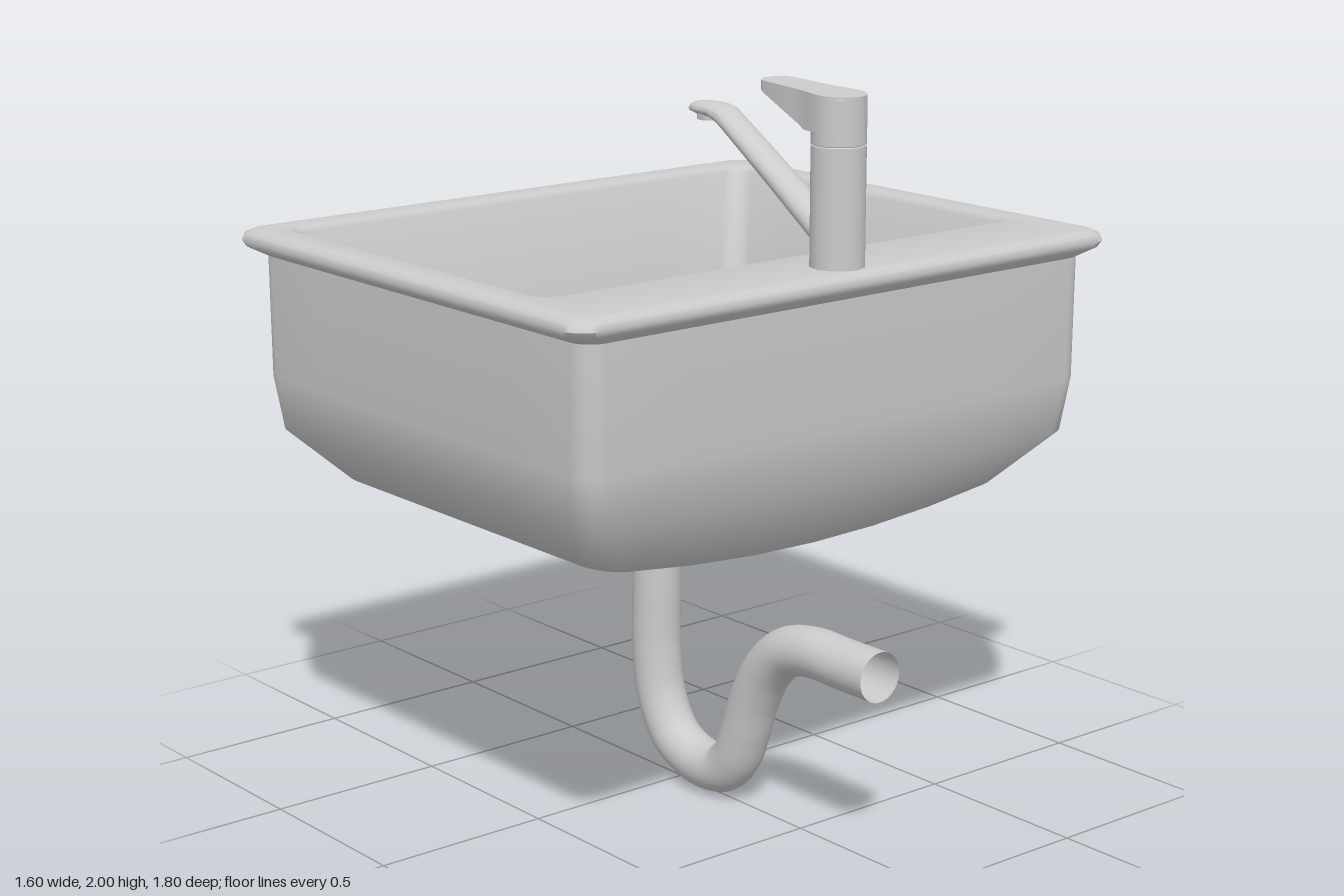
import * as THREE from 'three';
import { toCreasedNormals } from 'three/addons/utils/BufferGeometryUtils.js';

const material = new THREE.MeshStandardMaterial({ color: 0xcccccc });
const openMaterial = new THREE.MeshStandardMaterial({ color: 0xcccccc, side: THREE.DoubleSide });

// Skin a list of closed rings (equal point counts); optionally close both ends.
function loft(rings, crease, capped = false) {
  const n = rings[0].length;
  const center = (ring) => ring.reduce((s, p) => s.add(p), new THREE.Vector3()).divideScalar(n);
  const rows = capped
    ? [rings[0].map(() => center(rings[0])), ...rings, rings[0].map(() => center(rings.at(-1)))]
    : rings;
  const positions = rows.flat().flatMap((p) => p.toArray());
  const index = [];
  for (let j = 0; j < rows.length - 1; j++) {
    for (let i = 0; i < n; i++) {
      const a = j * n + i, b = j * n + (i + 1) % n;
      index.push(a, a + n, b, b, a + n, b + n);
    }
  }
  const g = new THREE.BufferGeometry();
  g.setAttribute('position', new THREE.Float32BufferAttribute(positions, 3));
  g.setIndex(index);
  return toCreasedNormals(g, crease);
}

// Horizontal rounded rectangle; sag lowers the middle of the +x side, and the -x side a little.
function ring(y, x0, x1, zh, r, sag = 0) {
  const corners = [[x1 - r, zh - r], [x0 + r, zh - r], [x0 + r, r - zh], [x1 - r, r - zh]];
  const arcs = corners.map(([cx, cz], k) => Array.from({ length: 8 }, (_, i) => {
    const t = (k + i / 7) * Math.PI / 2;
    return new THREE.Vector3(cx + r * Math.cos(t), y, cz + r * Math.sin(t));
  }));
  const points = [];
  arcs.forEach((arc, k) => {
    points.push(...arc);
    for (let i = 1; i < 6; i++) points.push(arc[7].clone().lerp(arcs[(k + 1) % 4][0], i / 6));
  });
  points.forEach((p) => {
    p.y -= sag * Math.max(p.x / x1, 0.3 * p.x / x0) * (1 - (p.z / zh) ** 2);
  });
  return points;
}

function lathe(profile, crease = 0.6) {
  const g = new THREE.LatheGeometry(profile.map(([r, y]) => new THREE.Vector2(r, y)), 40);
  return toCreasedNormals(g, crease);
}

export function createModel() {
  const group = new THREE.Group();
  const add = (name, geometry, x = 0, y = 0, mat = material) => {
    const mesh = new THREE.Mesh(geometry, mat);
    mesh.name = name;
    mesh.position.set(x, y, 0);
    group.add(mesh);
  };

  // Basin: underside, outer wall, rim with slanted underside, tapering inner wall and floor
  add('basin', loft([
    ring(0.784, -0.18, -0.04, 0.07, 0.07),
    ring(0.814, -0.37, 0.37, 0.44, 0.1, 0.036),
    ring(0.866, -0.62, 0.54, 0.7, 0.08, 0.056),
    ring(1.0, -0.74, 0.66, 0.825, 0.07),
    ring(1.15, -0.755, 0.675, 0.845, 0.065),
    ring(1.48, -0.755, 0.675, 0.845, 0.06),
    ring(1.506, -0.792, 0.712, 0.892, 0.065),
    ring(1.522, -0.8, 0.72, 0.9, 0.065),
    ring(1.54, -0.793, 0.713, 0.893, 0.06),
    ring(1.55, -0.775, 0.695, 0.875, 0.052),
    ring(1.552, -0.76, 0.68, 0.86, 0.05),
    ring(1.552, -0.7, 0.458, 0.807, 0.055),
    ring(1.549, -0.692, 0.45, 0.798, 0.055),
    ring(1.535, -0.683, 0.441, 0.788, 0.055),
    ring(1.25, -0.625, 0.383, 0.725, 0.06),
    ring(1.02, -0.56, 0.315, 0.66, 0.075),
    ring(0.91, -0.465, 0.22, 0.55, 0.1),
    ring(0.865, -0.33, 0.13, 0.39, 0.13),
    ring(0.845, -0.21, 0.05, 0.13, 0.13),
  ], 0.9), 0, 0, openMaterial);

  // Drain strainer with its centre stud
  add('drain', lathe([[0.136, 0.835], [0.136, 0.862], [0.124, 0.862], [0.108, 0.848],
    [0.095, 0.825], [0.065, 0.81], [0.022, 0.806], [0.022, 0.816], [0, 0.816]], 0.9),
  -0.08, 0, openMaterial);

  // Waste collar and trap
  add('drainCollar', lathe([[0.066, 0.716], [0.075, 0.716], [0.083, 0.732], [0.083, 0.81]]),
    -0.11, 0, openMaterial);
  const path = new THREE.CatmullRomCurve3([
    [-0.107, 0.8], [-0.107, 0.55], [-0.107, 0.35], [-0.084, 0.215], [-0.022, 0.116], [0.062, 0.076],
    [0.127, 0.07], [0.19, 0.084], [0.24, 0.135], [0.276, 0.22], [0.312, 0.32], [0.366, 0.415],
    [0.44, 0.482], [0.54, 0.509], [0.66, 0.509], [0.797, 0.509],
  ].map(([x, y]) => new THREE.Vector3(x, y, 0)));
  add('trapPipe', new THREE.TubeGeometry(path, 96, 0.068, 28, false), 0, 0, openMaterial);

  // Faucet body and turning head, with a hairline groove between
  add('faucetBody', lathe([[0, 1.54], [0.07, 1.54], [0.07, 1.859], [0.067, 1.861],
    [0.07, 1.863], [0.07, 1.98], [0.064, 1.986], [0, 1.986]]), 0.614);

  // Lever: teardrop plan, wedge-shaped from the side
  const plan = new THREE.Shape();
  plan.moveTo(0.684, 0);
  plan.bezierCurveTo(0.684, 0.04, 0.65, 0.07, 0.614, 0.07);
  plan.bezierCurveTo(0.57, 0.07, 0.55, 0.056, 0.5, 0.056);
  plan.lineTo(0.39, 0.052);
  plan.bezierCurveTo(0.365, 0.05, 0.35, 0.025, 0.35, 0);
  plan.bezierCurveTo(0.35, -0.025, 0.365, -0.05, 0.39, -0.052);
  plan.lineTo(0.5, -0.056);
  plan.bezierCurveTo(0.55, -0.056, 0.57, -0.07, 0.614, -0.07);
  plan.bezierCurveTo(0.65, -0.07, 0.684, -0.04, 0.684, 0);
  const lever = new THREE.ExtrudeGeometry(plan, { depth: 1, bevelEnabled: false, curveSegments: 10 });
  lever.rotateX(-Math.PI / 2);
  const p = lever.attributes.position;
  for (let i = 0; i < p.count; i++) {
    const x = p.getX(i), t = THREE.MathUtils.clamp((x - 0.35) / 0.2, 0, 1);
    const top = 2 - 0.014 * (x - 0.35) / 0.33;
    p.setY(i, p.getY(i) > 0.5 ? top : 1.985 - 0.09 * t);
  }
  add('lever', toCreasedNormals(lever, 0.6));

  // Spout: flattened tapering tube, listed from tip to base as x, y, half height, half width
  const stations = [[0.066, 1.893, 0.01, 0.028], [0.075, 1.893, 0.015, 0.037], [0.1, 1.893, 0.019, 0.042],
    [0.15, 1.892, 0.022, 0.043], [0.185, 1.882, 0.026, 0.043], [0.22, 1.861, 0.027, 0.043],
    [0.4, 1.746, 0.032, 0.045], [0.59, 1.622, 0.038, 0.048]];
  const spout = stations.map(([x, y, h, w], i) => {
    const a = stations[Math.max(i - 1, 0)], b = stations[Math.min(i + 1, stations.length - 1)];
    const d = new THREE.Vector2(b[0] - a[0], b[1] - a[1]).normalize();
    return Array.from({ length: 24 }, (_, k) => {
      const t = k / 24 * Math.PI * 2, c = h * Math.cos(t);
      return new THREE.Vector3(x + d.y * c, y - d.x * c, w * Math.sin(t));
    });
  });
  add('spout', loft(spout, 0.9, true));
  add('spoutNozzle', toCreasedNormals(new THREE.CylinderGeometry(0.036, 0.034, 0.022, 24), 0.6), 0.118, 1.876);

  return group;
}
